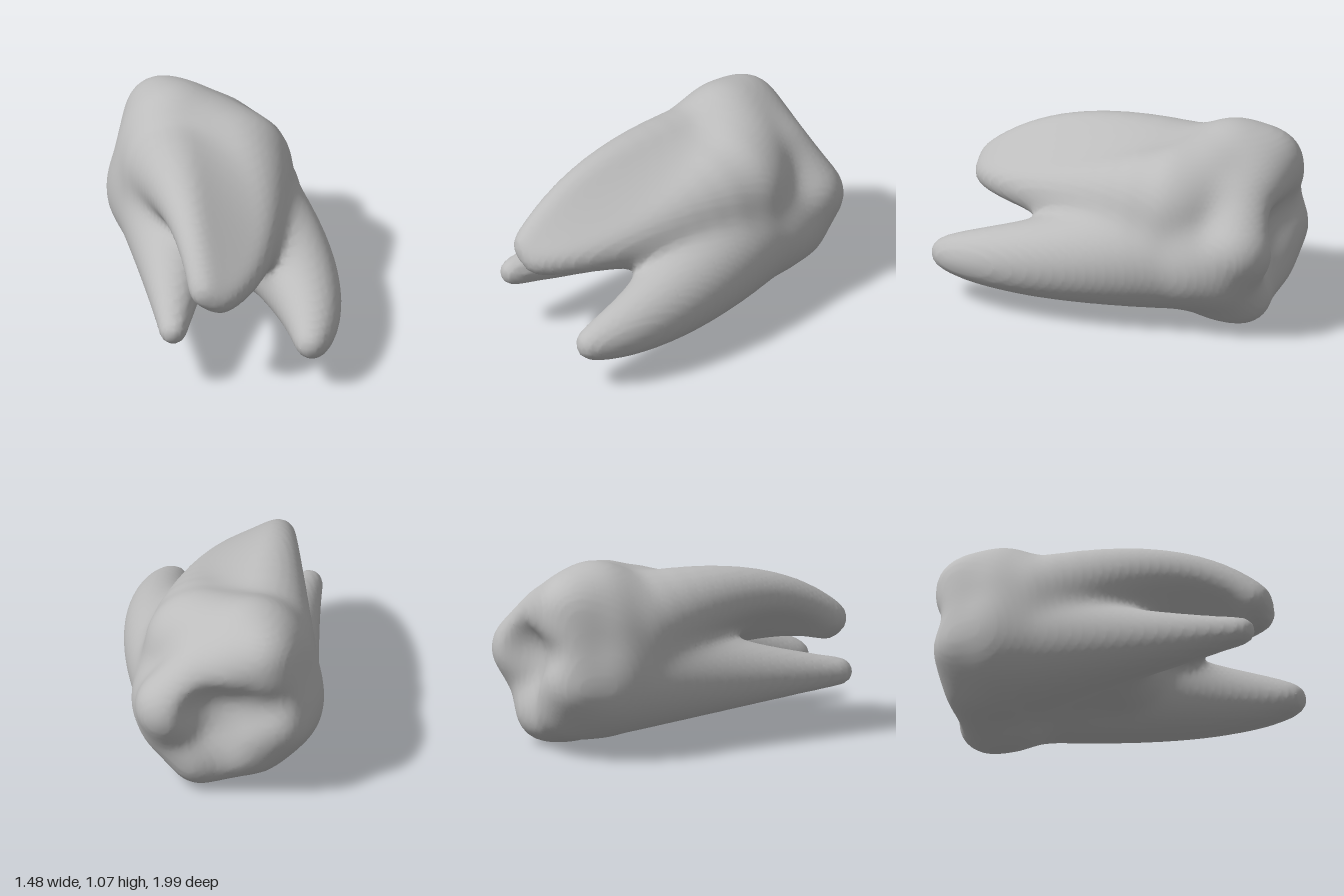
import * as THREE from 'three';

const STEP = 0.025;
const LOW = [-0.85, -0.1, -1.1];
const HIGH = [0.85, 1.2, 1.1];

// A ball is a centre and a radius; a limb is a list of balls joined by tapering links.
const vec = (x, y, z) => new THREE.Vector3(x, y, z);
const ball = (x, y, z, radius) => ({ centre: vec(x, y, z), radius });

// Root that follows a bent path and tapers towards its tip.
function rootLimb(points, startRadius, tipRadius, taper) {
  const path = new THREE.QuadraticBezierCurve3(...points);
  return path.getPoints(14).map((centre, i) => ({
    centre,
    radius: tipRadius + (startRadius - tipRadius) * Math.pow(1 - i / 14, taper),
  }));
}

function buildLimbs() {
  const outerRoot = rootLimb([vec(0.05, 0.42, -0.4), vec(0.6, 0.34, 0.3), vec(0.63, 0.28, 0.785)], 0.32, 0.1, 0.85);
  const innerRoot = rootLimb([vec(-0.35, 0.45, -0.4), vec(-0.23, 0.39, 0.25), vec(-0.125, 0.365, 0.93)], 0.34, 0.085, 1.1);

  // broad upper root: strands spread between its top and bottom edges
  const topEdge = [vec(-0.35, 0.66, -0.4), vec(-0.12, 1.02, 0.5), vec(0.05, 0.63, 0.91)];
  const bottomEdge = [vec(0, 0.68, -0.35), vec(0.36, 0.62, 0.62), vec(0.13, 0.575, 0.885)];
  const broadRoot = [];
  for (let s = 0; s <= 6; s++) {
    const strand = topEdge.map((p, i) => p.clone().lerp(bottomEdge[i], s / 6));
    broadRoot.push(rootLimb(strand, 0.33, 0.095, 2.1));
  }

  // trunk between crown and roots
  const trunk = [ball(-0.18, 0.55, -0.36, 0.41), ball(0, 0.43, 0.05, 0.25)];

  // cusps joined into a closed rim around the chewing face
  const rim = [
    ball(-0.555, 0.45, -0.62, 0.17),
    ball(-0.46, 0.85, -0.63, 0.195),
    ball(-0.15, 0.72, -0.69, 0.2),
    ball(0.02, 0.53, -0.805, 0.2),
    ball(0.02, 0.35, -0.72, 0.18),
    ball(-0.12, 0.205, -0.71, 0.18),
    ball(-0.4, 0.29, -0.63, 0.18),
  ];
  rim.push(rim[0]);

  // side bulges of the crown, all growing out of one hub
  const hub = ball(-0.18, 0.54, -0.38, 0.36);
  const bulges = [
    ball(-0.35, 0.8, -0.48, 0.296),
    ball(-0.15, 0.74, -0.45, 0.29),
    ball(-0.41, 0.47, -0.46, 0.315),
    ball(-0.34, 0.35, -0.52, 0.24),
    ball(-0.1, 0.24, -0.56, 0.22),
    ball(0.06, 0.42, -0.58, 0.26),
  ].map((bulge) => [[hub, bulge]]);

  return [[trunk], [outerRoot], [innerRoot], broadRoot, ...bulges, [rim]];
}

// Grooves between the cusps, running out of one central pit.
function buildGrooves() {
  const pit = ball(-0.27, 0.56, -0.92, 0.14);
  return [ball(-0.76, 0.66, -0.78, 0.06), ball(-0.32, 0.13, -0.9, 0.06)].map((end) => [pit, end]);
}

function limbDistance(x, y, z, limb) {
  let nearest = Infinity;
  for (let i = 1; i < limb.length; i++) {
    const a = limb[i - 1], b = limb[i];
    const dx = b.centre.x - a.centre.x, dy = b.centre.y - a.centre.y, dz = b.centre.z - a.centre.z;
    const px = x - a.centre.x, py = y - a.centre.y, pz = z - a.centre.z;
    const along = (px * dx + py * dy + pz * dz) / (dx * dx + dy * dy + dz * dz);
    const t = Math.min(1, Math.max(0, along));
    const qx = px - t * dx, qy = py - t * dy, qz = pz - t * dz;
    const distance = Math.sqrt(qx * qx + qy * qy + qz * qz) - (a.radius + t * (b.radius - a.radius));
    nearest = Math.min(nearest, distance);
  }
  return nearest;
}

function smoothMin(a, b, blend) {
  const h = Math.max(blend - Math.abs(a - b), 0);
  return Math.min(a, b) - (h * h) / (4 * blend);
}

// Signed distance of the whole tooth: limbs melted together, then grooves carved away.
function toothField() {
  const groups = buildLimbs();
  const grooves = buildGrooves();
  return (x, y, z) => {
    let d = 10;
    for (const group of groups) {
      let nearest = Infinity;
      for (const limb of group) nearest = Math.min(nearest, limbDistance(x, y, z, limb));
      d = smoothMin(d, nearest, 0.08);
    }
    for (const groove of grooves) d = -smoothMin(-d, limbDistance(x, y, z, groove), 0.1);
    return d;
  };
}

// Wraps a field in a smooth skin: one vertex per crossed cell, one quad per crossed edge.
function skinGeometry(field) {
  const n = LOW.map((v, a) => Math.ceil((HIGH[a] - v) / STEP) + 1);
  const stride = [1, n[0], n[0] * n[1]];
  const at = (i, j, k) => i + j * stride[1] + k * stride[2];
  const eachCell = (start, visit) => {
    for (let k = start; k < n[2] - 1; k++)
      for (let j = start; j < n[1] - 1; j++)
        for (let i = start; i < n[0] - 1; i++) visit(i, j, k);
  };

  let values = new Float32Array(n[0] * n[1] * n[2]);
  for (let k = 0; k < n[2]; k++)
    for (let j = 0; j < n[1]; j++)
      for (let i = 0; i < n[0]; i++)
        values[at(i, j, k)] = field(LOW[0] + i * STEP, LOW[1] + j * STEP, LOW[2] + k * STEP);

  // soften creases by averaging neighbours along each axis
  for (let pass = 0; pass < 12; pass++) {
    const side = stride[pass % 3], soft = values.slice();
    eachCell(1, (i, j, k) => {
      const p = at(i, j, k);
      soft[p] = (values[p - side] + 2 * values[p] + values[p + side]) / 4;
    });
    values = soft;
  }

  // vertices: the mean of the crossings on a cell's twelve edges
  const positions = [], index = [];
  const cellVertex = new Int32Array(values.length);
  eachCell(0, (i, j, k) => {
    const sum = [0, 0, 0];
    let count = 0;
    for (let c = 0; c < 8; c++) {
      const corner = [c & 1, (c >> 1) & 1, c >> 2];
      const p = at(i + corner[0], j + corner[1], k + corner[2]);
      for (let a = 0; a < 3; a++) {
        if (corner[a]) continue;
        const v0 = values[p], v1 = values[p + stride[a]];
        if ((v0 < 0) === (v1 < 0)) continue;
        for (let b = 0; b < 3; b++) sum[b] += corner[b];
        sum[a] += v0 / (v0 - v1);
        count++;
      }
    }
    if (count === 0) return;
    cellVertex[at(i, j, k)] = positions.length / 3;
    [i, j, k].forEach((g, a) => positions.push(LOW[a] + (g + sum[a] / count) * STEP));
  });

  // faces: join the four cells around each crossed edge
  eachCell(1, (i, j, k) => {
    const p = at(i, j, k);
    for (let a = 0; a < 3; a++) {
      const inside = values[p] < 0;
      if (inside === (values[p + stride[a]] < 0)) continue;
      const b = stride[(a + 1) % 3], c = stride[(a + 2) % 3];
      const q = [p - b - c, p - c, p, p - b].map((cell) => cellVertex[cell]);
      if (!inside) q.reverse();
      index.push(q[0], q[1], q[2], q[0], q[2], q[3]);
    }
  });

  const geometry = new THREE.BufferGeometry();
  geometry.setAttribute('position', new THREE.Float32BufferAttribute(positions, 3));
  geometry.setIndex(index);
  geometry.computeVertexNormals();
  return geometry;
}

export function createModel() {
  const enamel = new THREE.MeshStandardMaterial({ color: 0xbcbcbc });
  enamel.name = 'grey enamel';

  // crown and three roots in one continuous skin
  const tooth = new THREE.Mesh(skinGeometry(toothField()), enamel);
  tooth.name = 'toothCrownAndRoots';

  const model = new THREE.Group();
  model.name = 'molarTooth';
  model.add(tooth);
  return model;
}
